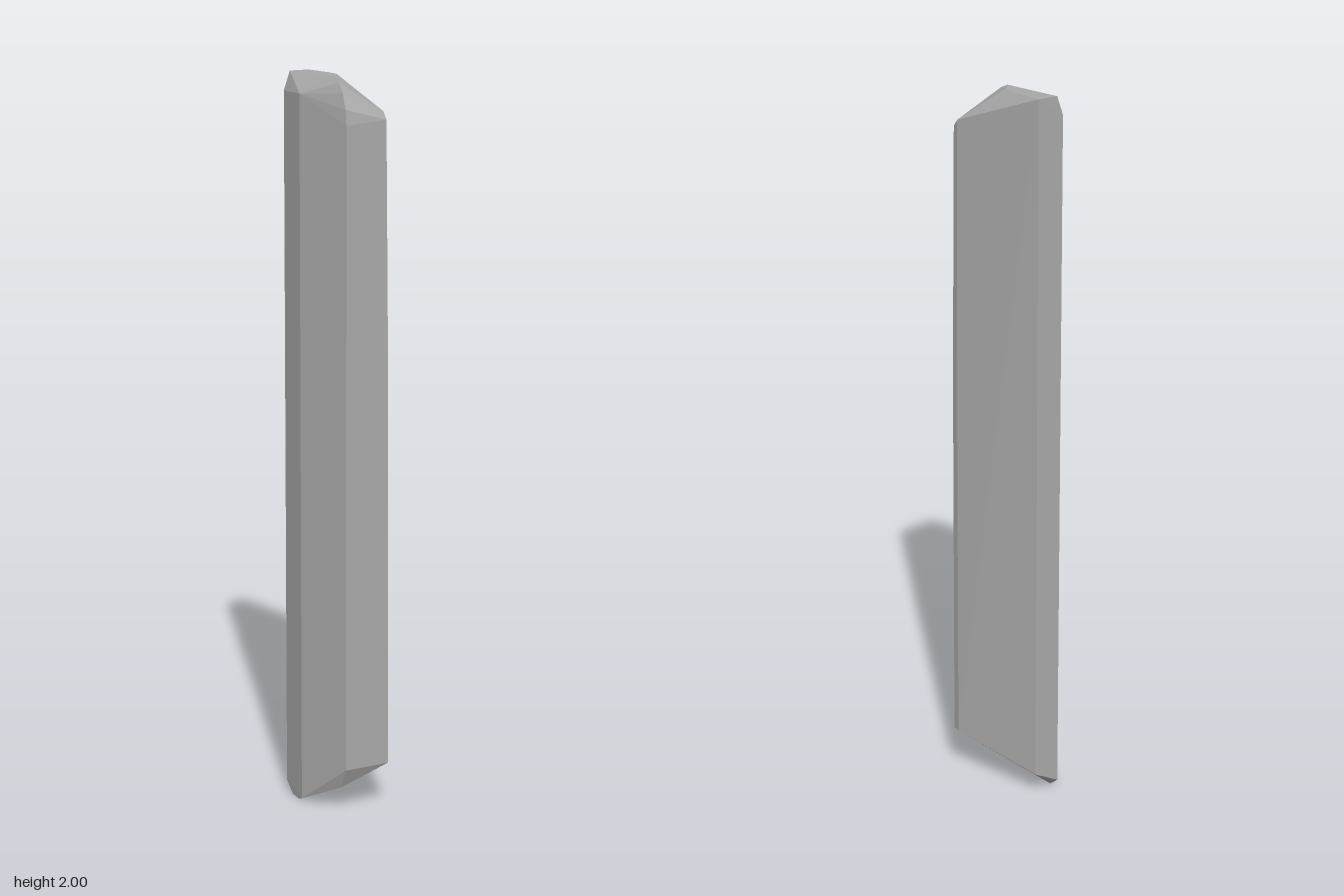
import * as THREE from 'three';
import { ConvexGeometry } from 'three/addons/geometries/ConvexGeometry.js';

const stone = new THREE.MeshStandardMaterial({ color: 0xa8a8a8 });
stone.name = 'grey stone';

const ring = (points, y) => points.map(([x, z]) => new THREE.Vector3(x, y, z));

export function createModel() {
  const group = new THREE.Group();
  group.name = 'stoneSlab';

  const corners = [
    // Flat crown
    ...ring([[-0.077, -0.122], [-0.022, -0.123], [-0.005, -0.03], [-0.005, 0.005], [-0.03, 0.037]], 2),
    // Rounded front shoulder
    ...[[0.07, 1.985], [0.09, 1.96], [0.105, 1.92], [0.11, 1.88]].map(([z, y]) => new THREE.Vector3(-0.03, y, z)),
    // Upper ends of the left and right sides
    ...ring([[-0.094, -0.123], [-0.094, -0.03]], 1.95),
    ...ring([[0.081, 0.1]], 1.91),
    ...ring([[0.081, 0.117]], 1.89),
    // Widest part of the shaft
    ...ring([[0.088, 0.1], [0.088, 0.121]], 1.2),
    // Lower ends of the sides
    ...ring([[0.093, 0.1], [0.093, 0.122]], 0.135),
    ...ring([[-0.03, 0.111]], 0.13),
    ...ring([[-0.03, 0.085]], 0.072),
    ...ring([[-0.022, -0.125]], 0.07),
    ...ring([[-0.095, -0.125]], 0.03),
    // Narrow slanted foot
    ...ring([[-0.095, -0.03]], 0.008),
    ...ring([[-0.094, -0.09], [-0.094, -0.05]], 0),
  ];

  const slab = new THREE.Mesh(new ConvexGeometry(corners), stone);
  slab.name = 'slab';
  group.add(slab);
  return group;
}
